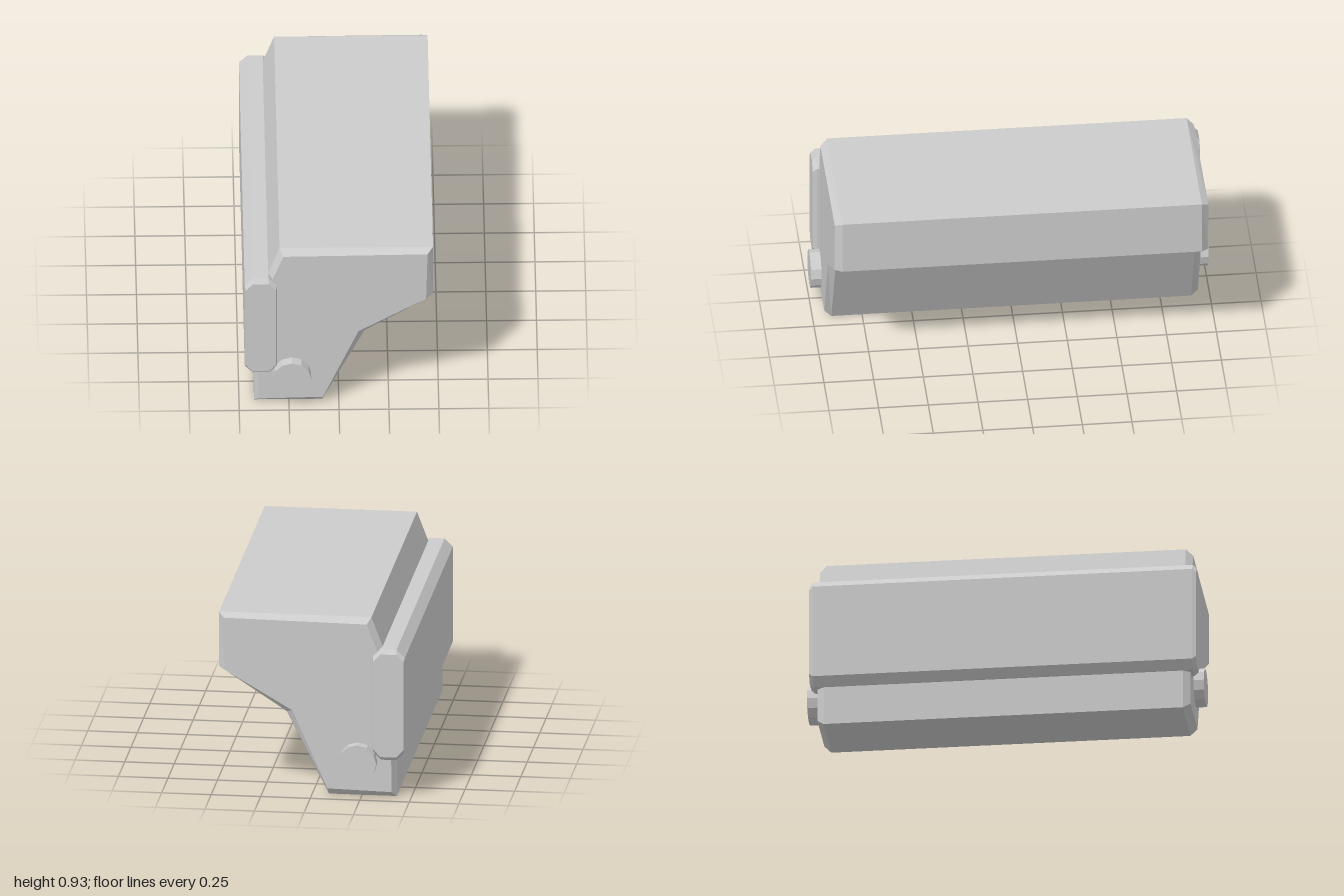
import * as THREE from 'three';

const material = new THREE.MeshStandardMaterial({ color: 0xcccccc, flatShading: true });

// Long prism along z with chamfered ends: the outer profile runs to +-zSide,
// then tapers to the inner profile at +-zEnd. Profiles are counter-clockwise.
function chamferedPrism(name, outer, inner, zSide, zEnd) {
  const rings = [[inner, -zEnd], [outer, -zSide], [outer, zSide], [inner, zEnd]];
  const n = outer.length;
  const positions = rings.flatMap(([profile, z]) => profile.flatMap(([x, y]) => [x, y, z]));
  const index = [];
  for (let r = 0; r < rings.length - 1; r++) {
    for (let i = 0; i < n; i++) {
      const j = (i + 1) % n;
      const a = r * n + i, b = r * n + j, c = a + n, d = b + n;
      index.push(a, b, d, a, d, c);
    }
  }
  // End caps
  const contour = inner.map(([x, y]) => new THREE.Vector2(x, y));
  const front = (rings.length - 1) * n;
  for (const [a, b, c] of THREE.ShapeUtils.triangulateShape(contour, [])) {
    index.push(front + a, front + b, front + c, a, c, b);
  }
  const indexed = new THREE.BufferGeometry();
  indexed.setAttribute('position', new THREE.Float32BufferAttribute(positions, 3));
  indexed.setIndex(index);
  const geometry = indexed.toNonIndexed();
  geometry.computeVertexNormals();
  const mesh = new THREE.Mesh(geometry, material);
  mesh.name = name;
  return mesh;
}

// Rectangle with cut corners
function octagon(x0, x1, y0, y1, cx, cy) {
  return [
    [x0 + cx, y0], [x1 - cx, y0], [x1, y0 + cy], [x1, y1 - cy],
    [x1 - cx, y1], [x0 + cx, y1], [x0, y1 - cy], [x0, y0 + cy],
  ];
}

export function createModel() {
  const model = new THREE.Group();
  model.name = 'model';

  // Overhanging main housing
  model.add(chamferedPrism('housing',
    [[-0.425, 0], [-0.083, 0], [0.13, 0.423], [0.472, 0.647], [0.472, 0.932], [-0.297, 0.932], [-0.425, 0.595]],
    [[-0.402, 0.03], [-0.08, 0.037], [0.098, 0.44], [0.437, 0.637], [0.444, 0.911], [-0.277, 0.903], [-0.4, 0.595]],
    0.905, 0.94));

  // Thick plate along the side
  model.add(chamferedPrism('sidePlate',
    octagon(-0.472, -0.31, 0.203, 0.782, 0.042, 0.042),
    octagon(-0.467, -0.315, 0.222, 0.76, 0.036, 0.039),
    0.955, 0.975));

  // Round pivot caps at both ends
  for (const [name, side] of [['frontPivot', 1], ['backPivot', -1]]) {
    const pivot = new THREE.Mesh(new THREE.CylinderGeometry(0.097, 0.097, 0.053, 12), material);
    pivot.name = name;
    pivot.rotation.x = Math.PI / 2;
    pivot.position.set(-0.236, 0.19, side * 0.9735);
    model.add(pivot);
  }
  return model;
}
